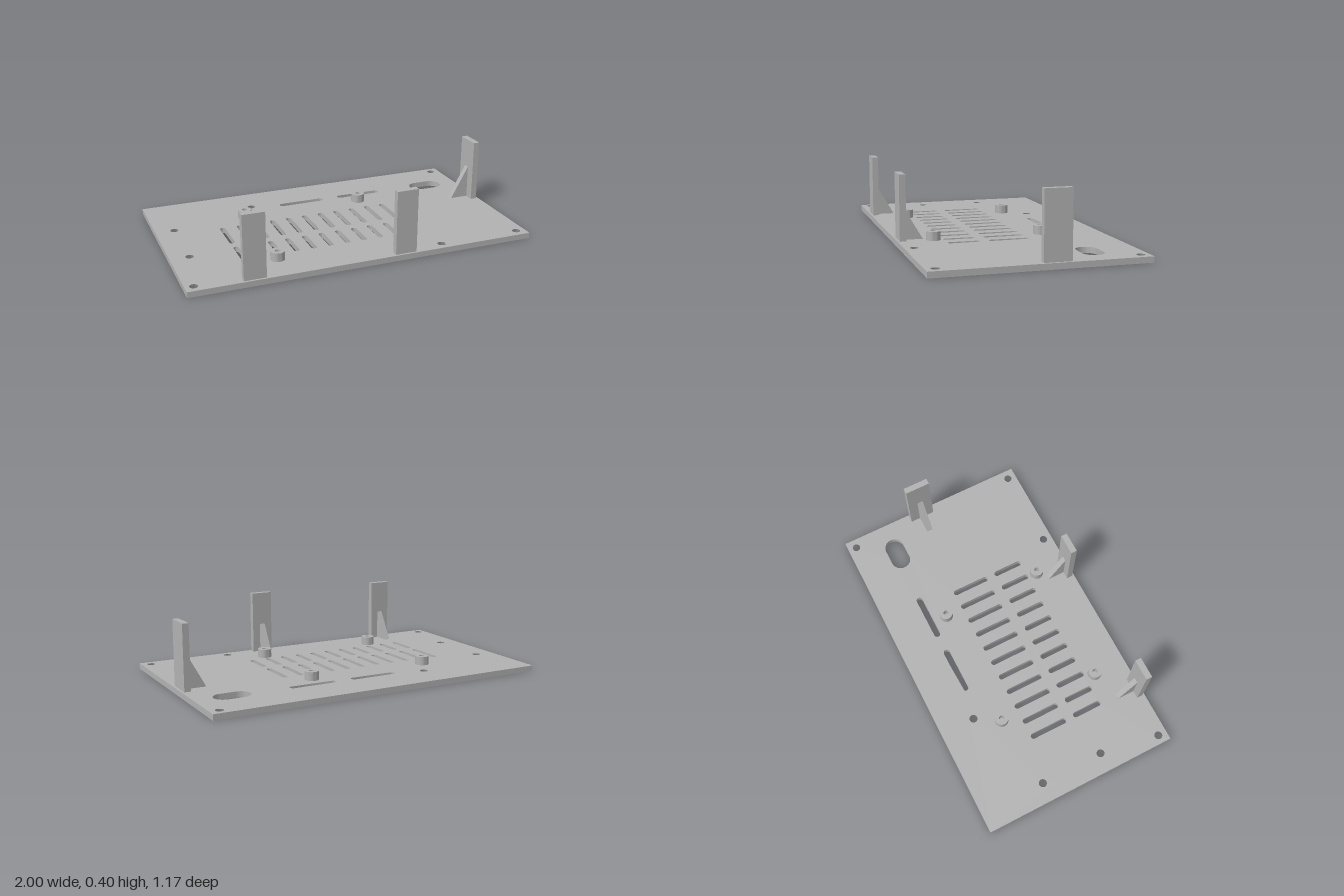
import * as THREE from 'three';
import { toCreasedNormals } from 'three/addons/utils/BufferGeometryUtils.js';

const T = 0.033;              // plate thickness
const TOP = 0.4;              // height of the uprights
const SCREW_R = 0.023, SINK_R = 0.04;
const screws = [[0.945, -0.535], [-0.89, -0.195], [-0.372, -0.377], [-0.89, 0.182],
  [-0.952, 0.532], [0.46, 0.532], [0.945, 0.532]];

const circle = (x, z, r) => new THREE.Path().absarc(x, z, r, 0, Math.PI * 2, true);

// Rounded slot filling the given rectangle
function slot(x0, x1, z0, z1) {
  const p = new THREE.Path(), r = Math.min(x1 - x0, z1 - z0) / 2, h = Math.PI / 2;
  if (x1 - x0 > z1 - z0) {
    p.absarc(x0 + r, z0 + r, r, h, 3 * h, false);
    p.absarc(x1 - r, z0 + r, r, -h, h, false);
  } else {
    p.absarc(x0 + r, z0 + r, r, -2 * h, 0, false);
    p.absarc(x0 + r, z1 - r, r, 0, 2 * h, false);
  }
  p.closePath();
  return p;
}

// Extrude a floor-plan shape (x, z) from height y0 up to y1
function slab(shape, y0, y1) {
  const g = new THREE.ExtrudeGeometry(shape, { depth: y1 - y0, bevelEnabled: false, curveSegments: 16 });
  return g.rotateX(Math.PI / 2).translate(0, y1, 0);
}

function plateGeometry() {
  const s = new THREE.Shape();
  s.moveTo(-1, -0.585).lineTo(1, -0.585).lineTo(1, 0.585).lineTo(-1, 0.585).closePath();
  screws.forEach(([x, z]) => s.holes.push(circle(x, z, SCREW_R)));
  // two rows of vents
  for (let i = 0; i < 11; i++) {
    const x = -0.624 + i * 0.101;
    s.holes.push(slot(x - 0.016, x + 0.016, -0.13, 0.1), slot(x - 0.016, x + 0.016, 0.15, 0.33));
  }
  // cable slots and the large opening
  s.holes.push(slot(-0.2, 0.083, -0.355, -0.317), slot(0.18, 0.462, -0.355, -0.317));
  s.holes.push(slot(0.686, 0.893, -0.381, -0.264));
  const g = slab(s, 0, T), p = g.attributes.position;
  // countersink: widen the screw holes at the underside
  for (let i = 0; i < p.count; i++) {
    if (p.getY(i) > T / 2) continue;
    for (const [x, z] of screws) {
      const dx = p.getX(i) - x, dz = p.getZ(i) - z, d = Math.hypot(dx, dz);
      if (d < SCREW_R * 1.1) {
        p.setX(i, x + dx * SINK_R / d);
        p.setZ(i, z + dz * SINK_R / d);
        break;
      }
    }
  }
  return toCreasedNormals(g, 0.6);
}

export function createModel() {
  const model = new THREE.Group();
  model.name = 'mountingPlate';
  const grey = new THREE.MeshStandardMaterial({ color: 0xb2b2b2 });
  grey.name = 'grey';
  const add = (parent, name, geometry) => {
    const m = new THREE.Mesh(geometry, grey);
    m.name = name;
    parent.add(m);
    return m;
  };

  add(model, 'basePlate', plateGeometry());

  // Hollow standoffs
  const ring = new THREE.Shape().absarc(0, 0, 0.04, 0, Math.PI * 2, false);
  ring.holes.push(circle(0, 0, 0.015));
  const standoff = toCreasedNormals(slab(ring, T, 0.083), 0.6);
  for (const x of [-0.455, 0.278])
    for (const z of [-0.235, 0.385]) add(model, 'standoff', standoff).position.set(x, 0, z);

  // Upright with a triangular gusset behind it; local +z is the outer side
  function bracket(name, width, ribOffset, ribWidth, ribLength, ribTop) {
    const b = new THREE.Group();
    b.name = name;
    add(b, 'upright', new THREE.BoxGeometry(width, TOP - T, 0.036).translate(0, (TOP + T) / 2, -0.018));
    const tri = new THREE.Shape();
    tri.moveTo(0.036, T).lineTo(0.036 + ribLength, T).lineTo(0.036, ribTop).closePath();
    const g = new THREE.ExtrudeGeometry(tri, { depth: ribWidth, bevelEnabled: false });
    add(b, 'gusset', g.rotateY(Math.PI / 2).translate(ribOffset - ribWidth / 2, 0, 0));
    model.add(b);
    return b;
  }
  bracket('frontRightBracket', 0.124, 0, 0.032, 0.102, 0.205).position.set(-0.638, 0, 0.573);
  bracket('frontLeftBracket', 0.124, 0, 0.032, 0.102, 0.205).position.set(0.222, 0, 0.573);
  const side = bracket('sideBracket', 0.15, 0, 0.036, 0.108, 0.228);
  side.position.set(0.986, 0, -0.074);
  side.rotation.y = Math.PI / 2;

  return model;
}
